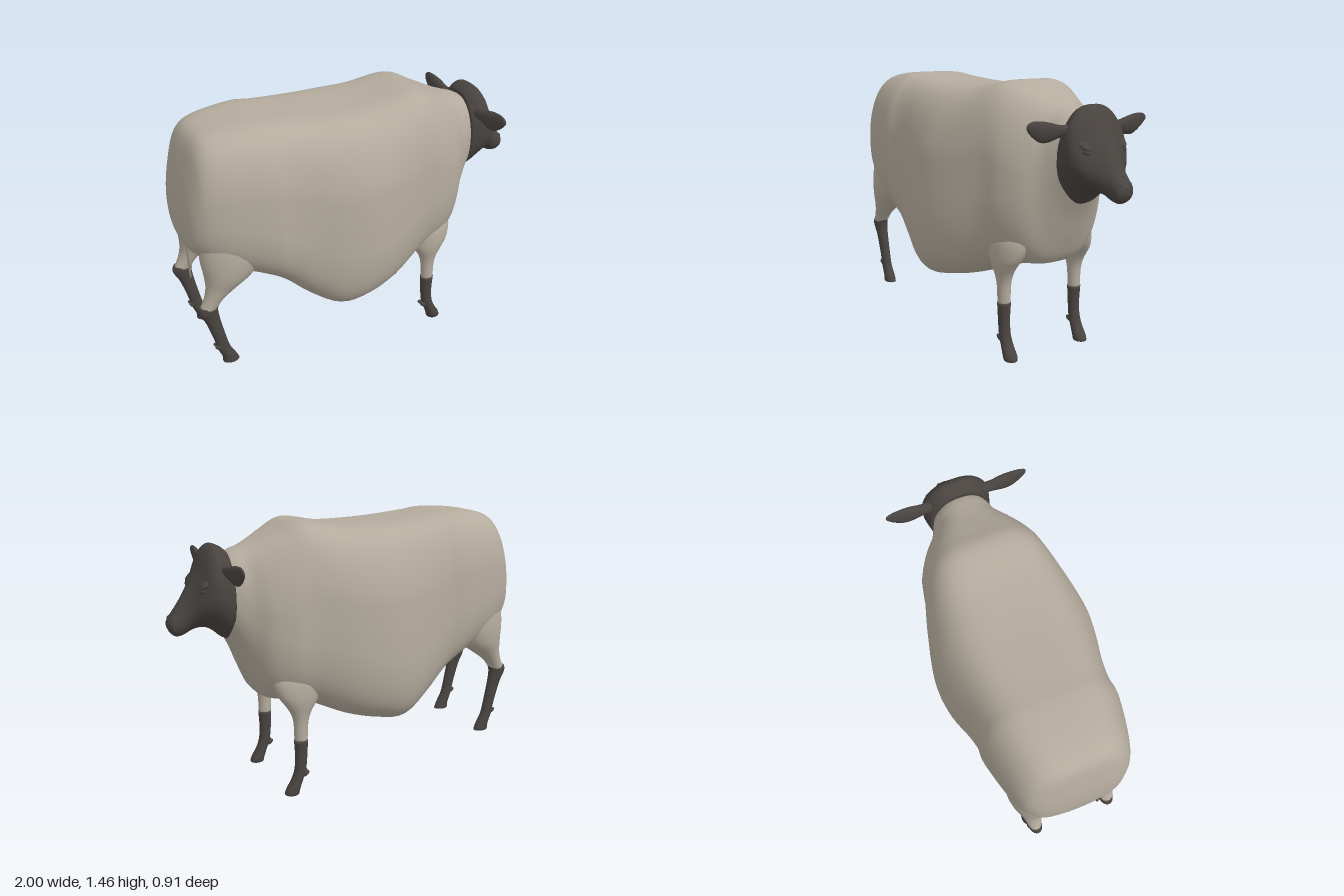
import * as THREE from 'three';

const wool = new THREE.MeshStandardMaterial({ color: 0xb4ab9d });
wool.name = 'wool';
const darkCoat = new THREE.MeshStandardMaterial({ color: 0x494440 });
darkCoat.name = 'dark coat';

// Smoothly interpolates a table of stations, steps per span.
function resample(rows, steps) {
  const out = [];
  for (let i = 0; i < rows.length - 1; i++) {
    const [p, a, b, q] = [rows[Math.max(i - 1, 0)], rows[i], rows[i + 1], rows[Math.min(i + 2, rows.length - 1)]];
    for (let k = 0; k < steps; k++) {
      const t = k / steps, t2 = t * t, t3 = t2 * t;
      out.push(a.map((v, j) => 0.5 * (2 * v + (b[j] - p[j]) * t
        + (2 * p[j] - 5 * v + 4 * b[j] - q[j]) * t2 + (3 * v - p[j] - 3 * b[j] + q[j]) * t3)));
    }
  }
  out.push(rows[rows.length - 1]);
  return out;
}

// Closed skin through the stations; place(station, u, v) gives a point, u and v in -1..1.
function loft(name, material, rows, place, { steps = 4, sides = 32 } = {}) {
  const sections = resample(rows, steps), pos = [], idx = [];
  const power = (c, n) => Math.sign(c) * Math.abs(c) ** (2 / n);
  for (const s of sections) {
    const n = s[5] ?? 2;
    for (let i = 0; i < sides; i++) {
      const a = ((i + 0.5) / sides) * Math.PI * 2;
      pos.push(...place(s, power(Math.cos(a), n), power(Math.sin(a), n)));
    }
  }
  const last = sections.length - 1, cap = pos.length / 3;
  pos.push(...place(sections[0], 0, 0), ...place(sections[last], 0, 0));
  for (let i = 0; i < sides; i++) {
    const j = (i + 1) % sides;
    for (let r = 0; r < last; r++) {
      const a = r * sides + i, b = r * sides + j, c = a + sides, d = b + sides;
      idx.push(a, c, b, b, c, d);
    }
    idx.push(cap, i, j, cap + 1, last * sides + j, last * sides + i);
  }
  // Turn the faces outwards whichever way the sections run.
  let volume = 0;
  const at = (i) => new THREE.Vector3().fromArray(pos, i * 3);
  for (let i = 0; i < idx.length; i += 3) volume += at(idx[i]).dot(at(idx[i + 1]).cross(at(idx[i + 2])));
  if (volume < 0) idx.reverse();
  const geometry = new THREE.BufferGeometry();
  geometry.setAttribute('position', new THREE.Float32BufferAttribute(pos, 3));
  geometry.setIndex(idx);
  geometry.computeVertexNormals();
  const mesh = new THREE.Mesh(geometry, material);
  mesh.name = name;
  return mesh;
}

// Station: x, bottom, top, half width, narrowing above, roundness, narrowing below
const alongX = ([x, lo, hi, w, up, , down], u, v) => [
  x, (lo + hi) / 2 + v * (hi - lo) / 2,
  u * w * (1 - (v > 0 ? up * v ** 1.5 : down * v * v))];

// Station: y, back x, front x, centre z, half width
const alongY = (side) => ([y, lo, hi, z, w], u, v) => [
  (lo + hi) / 2 + u * (hi - lo) / 2, y, side * (z + v * w)];

function blob(name, material, p, scale, tilt = 0) {
  const mesh = new THREE.Mesh(new THREE.SphereGeometry(1, 20, 14), material);
  mesh.name = name;
  mesh.position.set(...p);
  mesh.scale.set(...scale);
  mesh.rotation.z = tilt;
  return mesh;
}

function makeLegs(side) {
  const legs = new THREE.Group();
  legs.name = side > 0 ? 'rightLegs' : 'leftLegs';
  const place = alongY(side), detail = { sides: 24 };
  legs.add(
    loft('shoulder', wool, [
      [0.30, 0.34, 0.412, 0.25, 0.034], [0.40, 0.335, 0.415, 0.25, 0.036],
      [0.46, 0.32, 0.43, 0.25, 0.044], [0.51, 0.29, 0.46, 0.248, 0.056],
      [0.57, 0.25, 0.50, 0.235, 0.074], [0.66, 0.20, 0.52, 0.205, 0.095],
      [0.78, 0.22, 0.48, 0.16, 0.09]], place, detail),
    loft('frontLeg', darkCoat, [
      [0.31, 0.338, 0.415, 0.25, 0.036], [0.22, 0.342, 0.41, 0.25, 0.031],
      [0.14, 0.35, 0.415, 0.25, 0.031], [0.08, 0.37, 0.435, 0.25, 0.034],
      [0.03, 0.388, 0.465, 0.25, 0.038], [0.005, 0.393, 0.473, 0.25, 0.035],
      [0, 0.4, 0.465, 0.25, 0.028]], place, detail),
    loft('thigh', wool, [
      [1.05, -0.89, -0.62, 0.17, 0.09], [0.92, -0.945, -0.57, 0.185, 0.122],
      [0.80, -0.955, -0.59, 0.195, 0.124], [0.70, -0.945, -0.67, 0.205, 0.103],
      [0.63, -0.945, -0.77, 0.212, 0.07], [0.57, -0.96, -0.85, 0.214, 0.049],
      [0.51, -0.99, -0.895, 0.214, 0.037]], place, detail),
    loft('hindLeg', darkCoat, [
      [0.525, -0.993, -0.885, 0.214, 0.037], [0.49, -0.998, -0.893, 0.214, 0.037],
      [0.42, -0.965, -0.885, 0.214, 0.031], [0.30, -0.93, -0.862, 0.214, 0.028],
      [0.23, -0.915, -0.845, 0.214, 0.028], [0.17, -0.892, -0.815, 0.214, 0.031],
      [0.135, -0.89, -0.80, 0.214, 0.031], [0.13, -0.88, -0.808, 0.214, 0.026]], place, detail));
  // Dew claws behind the fetlocks
  for (const [x, y, z] of [[0.358, 0.112, 0.25], [-0.908, 0.245, 0.214]])
    for (const d of [-0.013, 0.013])
      legs.add(blob('dewClaw', darkCoat, [x, y, side * (z + d)], [0.026, 0.014, 0.012], -0.5));
  return legs;
}

export function createModel() {
  const sheep = new THREE.Group();
  sheep.name = 'sheep';

  // Fleeced trunk from rump to neck
  sheep.add(loft('body', wool, [
    [-1.0, 0.87, 1.0, 0.09, 0, 2.4, 0], [-0.985, 0.82, 1.12, 0.2, 0.1, 2.7, 0.05],
    [-0.95, 0.79, 1.27, 0.26, 0.15, 3.2, 0.08], [-0.9, 0.75, 1.405, 0.298, 0.2, 3.7, 0.08],
    [-0.8, 0.70, 1.45, 0.335, 0.2, 4, 0.08], [-0.6, 0.61, 1.465, 0.378, 0.2, 4.2, 0.06],
    [-0.5, 0.54, 1.455, 0.375, 0.2, 4.4, 0.05], [-0.38, 0.43, 1.442, 0.394, 0.2, 4.6, 0.04],
    [-0.23, 0.34, 1.43, 0.437, 0.25, 4.8, 0.04], [-0.08, 0.355, 1.425, 0.455, 0.27, 4.8, 0.04],
    [0.1, 0.4, 1.43, 0.426, 0.25, 4.6, 0.06], [0.3, 0.485, 1.463, 0.362, 0.2, 4.2, 0.1],
    [0.42, 0.505, 1.415, 0.338, 0.24, 3.8, 0.14], [0.53, 0.53, 1.365, 0.283, 0.24, 3.1, 0.16],
    [0.6, 0.65, 1.34, 0.215, 0.2, 2.7, 0.2], [0.66, 0.79, 1.32, 0.175, 0.1, 2.5, 0.2],
    [0.73, 0.92, 1.28, 0.14, 0.1, 2.3, 0.2],
  ], alongX, { sides: 72 }));

  // Dock and thin hanging tail
  sheep.add(blob('tailDock', wool, [-0.963, 1.1, 0], [0.025, 0.1, 0.035], -0.2));
  sheep.add(loft('tail', wool, [
    [0.88, -0.964, -0.956, 0, 0.014], [0.76, -0.964, -0.956, 0, 0.02],
    [0.65, -0.964, -0.956, 0, 0.022], [0.60, -0.963, -0.957, 0, 0.017],
    [0.575, -0.961, -0.958, 0, 0.005]], alongY(1), { sides: 12 }));

  // Head tapering to the muzzle
  const head = new THREE.Group();
  head.name = 'head';
  head.add(loft('skull', darkCoat, [
    [0.685, 0.855, 1.325, 0.172, 0.2, 2.5, 0.35], [0.72, 0.87, 1.352, 0.184, 0.2, 2.8, 0.4],
    [0.76, 0.905, 1.36, 0.193, 0.22, 2.9, 0.4], [0.8, 0.93, 1.32, 0.187, 0.22, 2.7, 0.4],
    [0.84, 0.935, 1.235, 0.155, 0.25, 2.3, 0.35], [0.88, 0.925, 1.165, 0.105, 0.25, 2.1, 0.25],
    [0.92, 0.905, 1.1, 0.072, 0.2, 2.2, 0.15], [0.96, 0.9, 1.04, 0.06, 0.1, 2.4, 0.1],
    [0.985, 0.918, 1.005, 0.052, 0, 2.4, 0], [1.0, 0.945, 0.985, 0.028, 0, 2.2, 0],
  ], alongX, { sides: 40 }));

  for (const side of [1, -1]) {
    // Leaf-shaped ear; station: z, bottom, top, centre x, half depth
    head.add(loft('ear', darkCoat, [
      [0.14, 1.215, 1.27, 0.73, 0.026], [0.2, 1.207, 1.272, 0.73, 0.022],
      [0.26, 1.192, 1.287, 0.73, 0.025], [0.31, 1.193, 1.296, 0.729, 0.021],
      [0.36, 1.222, 1.298, 0.728, 0.014], [0.39, 1.25, 1.288, 0.729, 0.008],
      [0.4, 1.264, 1.275, 0.73, 0.003],
    ], ([z, lo, hi, x, w], u, v) => [
      x + u * w + 0.3 * v * w, (lo + hi) / 2 + v * (hi - lo) / 2, side * z,
    ], { sides: 20 }));
    // Eye under a soft brow, and nostril wing
    head.add(blob('eye', darkCoat, [0.838, 1.148, side * 0.121], [0.024, 0.014, 0.022], -0.5));
    head.add(blob('brow', darkCoat, [0.822, 1.18, side * 0.118], [0.045, 0.016, 0.034], -0.7));
    head.add(blob('nostril', darkCoat, [0.972, 0.985, side * 0.028], [0.02, 0.024, 0.02], -0.6));
    sheep.add(makeLegs(side));
  }
  sheep.add(head);
  return sheep;
}
